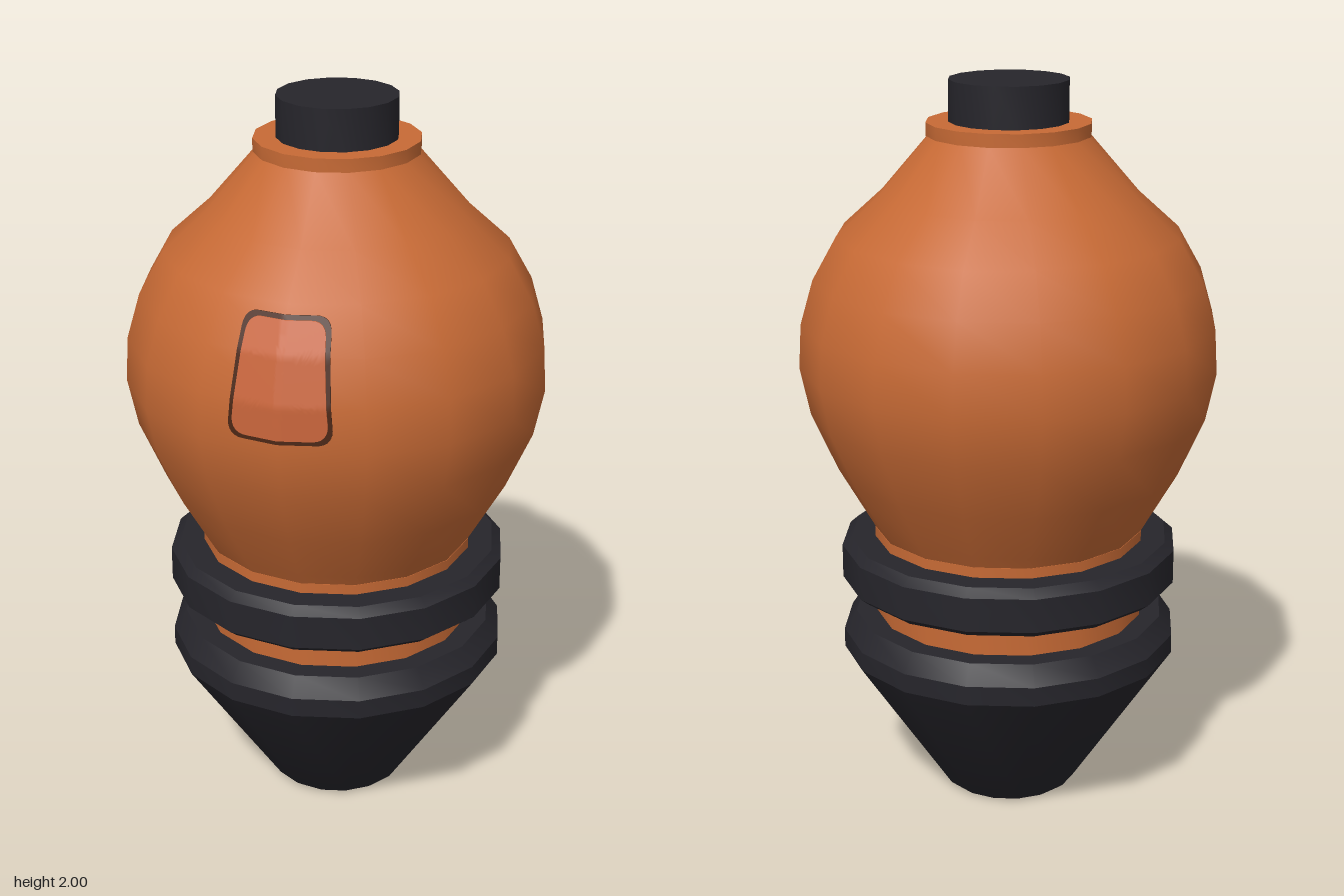
import * as THREE from 'three';
import { toCreasedNormals } from 'three/addons/utils/BufferGeometryUtils.js';

const SIDES = 16;
const orange = new THREE.MeshStandardMaterial({ color: 0xc76a35 });
const panelOrange = new THREE.MeshStandardMaterial({ color: 0xc7643a });
const grooveBrown = new THREE.MeshStandardMaterial({ color: 0x4a2614 });
const black = new THREE.MeshStandardMaterial({ color: 0x26252b });

// Body radius and height, bottom to top
const bodyProfile = [
  [0.37, 0.775], [0.39, 0.81], [0.47, 0.95], [0.54, 1.11], [0.567, 1.24],
  [0.56, 1.36], [0.525, 1.48], [0.46, 1.595], [0.35, 1.695], [0.21, 1.858],
];

// Turned part: smooth around, sharp at strong profile corners
function turned(name, profile, material, crease = 0.5) {
  const points = profile.map(([r, y]) => new THREE.Vector2(r, y));
  const geometry = toCreasedNormals(new THREE.LatheGeometry(points, SIDES), crease);
  const mesh = new THREE.Mesh(geometry, material);
  mesh.name = name;
  return mesh;
}

// Depth of the faceted body front at a given x and y
function bodyFront(x, y) {
  let i = 0;
  while (i < bodyProfile.length - 2 && bodyProfile[i + 1][1] < y) i++;
  const [r0, y0] = bodyProfile[i];
  const [r1, y1] = bodyProfile[i + 1];
  const r = r0 + ((r1 - r0) * (y - y0)) / (y1 - y0);
  return r - Math.abs(x) * Math.tan(Math.PI / SIDES);
}

// Rounded, tapered outline, counter-clockwise
function hatchOutline(grow) {
  const b = 0.125 + grow, t = 0.105 + grow, y0 = 1.273 - grow, y1 = 1.562 + grow, c = 0.04;
  const s = new THREE.Shape();
  s.moveTo(-b + c, y0);
  s.lineTo(b - c, y0);
  s.quadraticCurveTo(b, y0, b, y0 + c);
  s.lineTo(t, y1 - c);
  s.quadraticCurveTo(t - 0.003, y1, t - c, y1);
  s.lineTo(-t + c, y1);
  s.quadraticCurveTo(-t + 0.003, y1, -t, y1 - c);
  s.lineTo(-b, y0 + c);
  s.quadraticCurveTo(-b, y0, -b + c, y0);
  return s.getSpacedPoints(96);
}

// Patch that follows the body surface, its rim turned down to meet it
function bodyPatch(name, grow, lift, material) {
  const outline = hatchOutline(grow);
  const n = outline.length, rings = 16, cy = 1.415;
  const positions = [], indices = [];
  for (let k = 0; k <= rings + 1; k++) {
    const t = Math.min(k / rings, 1);
    for (const p of outline) {
      const x = p.x * t, y = cy + (p.y - cy) * t;
      positions.push(x, y, bodyFront(x, y) + (k > rings ? 0 : lift));
    }
  }
  for (let k = 0; k <= rings; k++) {
    for (let i = 0; i < n - 1; i++) {
      const a = k * n + i, d = a + n;
      indices.push(a, d, d + 1);
      if (k > 0) indices.push(a, d + 1, a + 1);
    }
  }
  const geometry = new THREE.BufferGeometry();
  geometry.setAttribute('position', new THREE.Float32BufferAttribute(positions, 3));
  geometry.setIndex(indices);
  const mesh = new THREE.Mesh(toCreasedNormals(geometry, 0.6), material);
  mesh.name = name;
  return mesh;
}

export function createModel() {
  const model = new THREE.Group();
  model.name = 'bulbCapsule';

  // Tapered foot with bevelled rim
  model.add(turned('foot', [
    [0, 0], [0.175, 0], [0.19, 0.012], [0.465, 0.425], [0.465, 0.478], [0.43, 0.53], [0, 0.53],
  ], black));

  // Straight neck and the dark ring around it
  model.add(turned('neck', [[0.373, 0.52], [0.373, 0.778], [0.36, 0.778]], orange));
  model.add(turned('ring', [
    [0.36, 0.615], [0.44, 0.615], [0.465, 0.635], [0.465, 0.728], [0.44, 0.75], [0.36, 0.75],
  ], black));

  // Bulbous body and top flange
  model.add(turned('body', bodyProfile, orange, 0.8));
  model.add(turned('flange', [[0, 1.855], [0.22, 1.855], [0.22, 1.89], [0, 1.89]], orange));

  // Top plug
  model.add(turned('plug', [[0.16, 1.88], [0.16, 2], [0, 2]], black));

  // Front hatch with dark groove
  const hatch = new THREE.Group();
  hatch.name = 'hatch';
  hatch.add(bodyPatch('hatchGroove', 0.009, 0.002, grooveBrown));
  hatch.add(bodyPatch('hatchPanel', -0.002, 0.005, panelOrange));
  model.add(hatch);

  return model;
}
